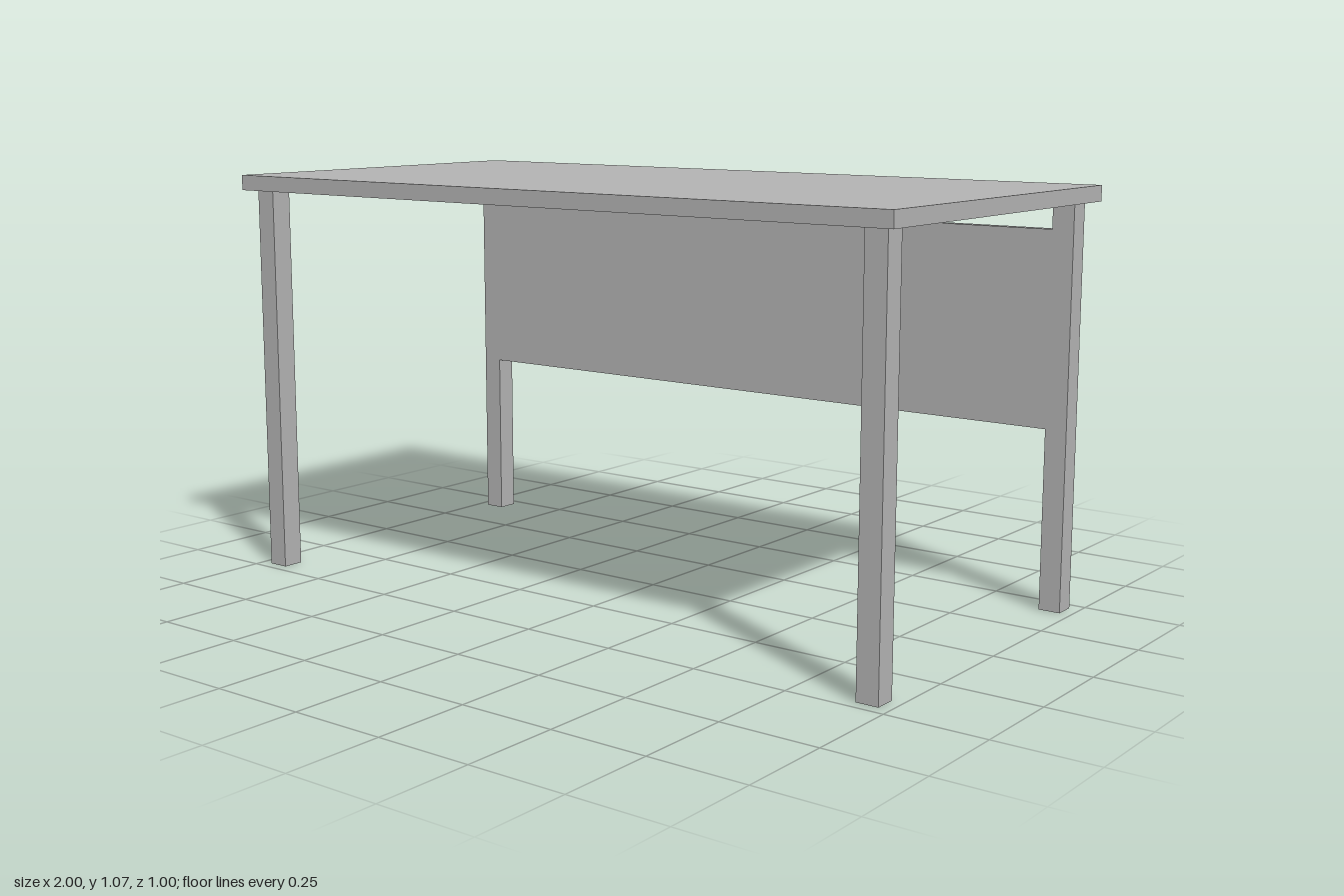
import * as THREE from 'three';

export function createModel() {
  const model = new THREE.Group();
  model.name = 'desk';
  const grey = new THREE.MeshStandardMaterial({ color: 0xb2b2b2 });
  grey.name = 'plain grey';

  const box = (name, w, h, d, x, y, z) => {
    const mesh = new THREE.Mesh(new THREE.BoxGeometry(w, h, d), grey);
    mesh.name = name;
    mesh.position.set(x, y, z);
    model.add(mesh);
  };

  const height = 1.07, topThickness = 0.04, leg = 0.057;
  const legHeight = height - topThickness;
  const legX = 0.942, legZ = 0.442;

  // Table top
  box('tableTop', 2, topThickness, 1, 0, height - topThickness / 2, 0);

  // Four square legs
  for (const [side, sx] of [['Left', 1], ['Right', -1]]) {
    for (const [end, sz] of [['front', 1], ['back', -1]]) {
      box(`${end}${side}Leg`, leg, legHeight, leg, sx * legX, legHeight / 2, sz * legZ);
    }
  }

  // Modesty panel between the back legs, flush with their inner faces
  const panelBottom = 0.465, panelTop = 0.963, panelDepth = leg / 2;
  box('modestyPanel', 2 * legX - leg, panelTop - panelBottom, panelDepth,
    0, (panelTop + panelBottom) / 2, -legZ + panelDepth / 2);

  return model;
}
